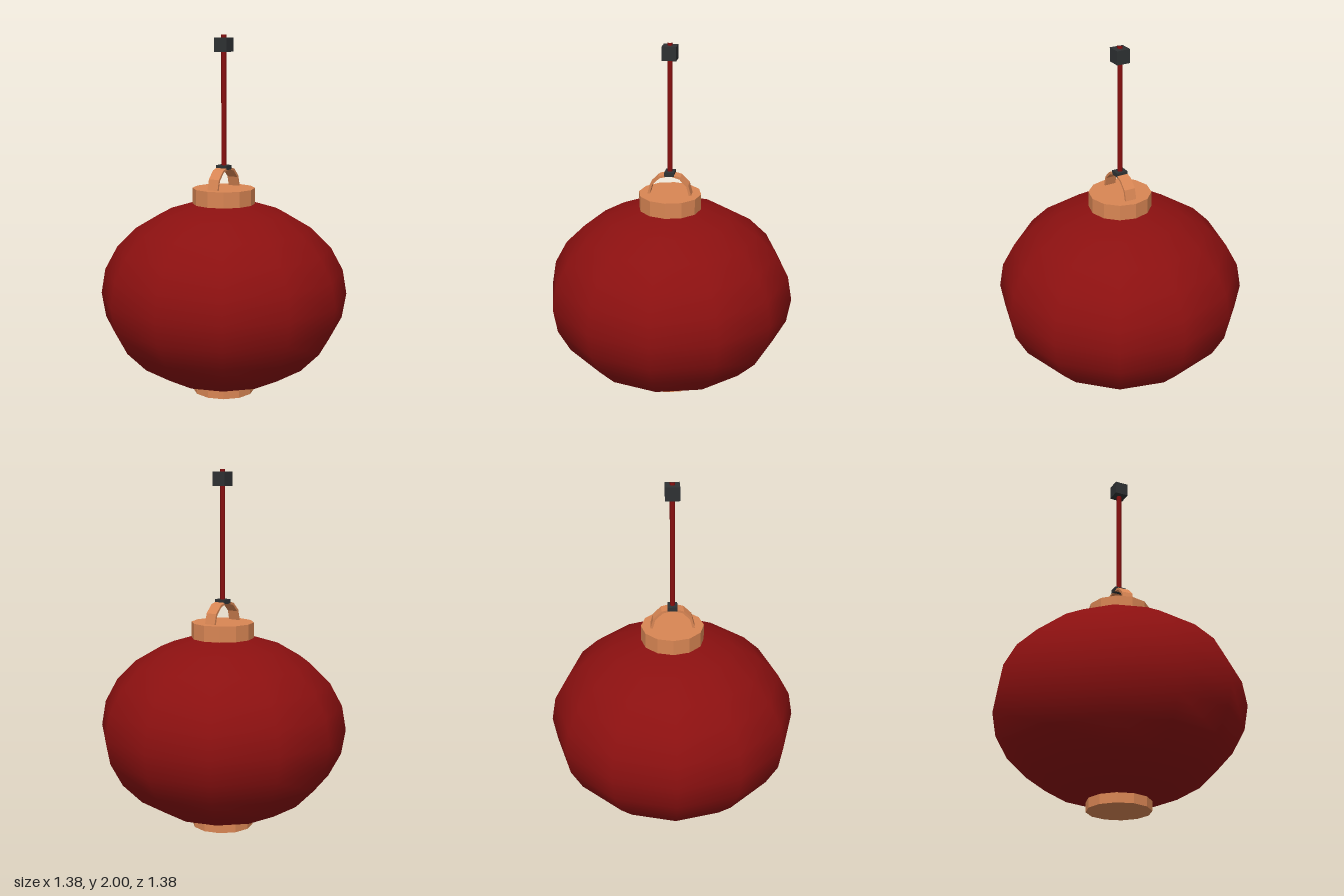
import * as THREE from 'three';

export function createModel() {
  const material = (name, color, flat) => {
    const m = new THREE.MeshStandardMaterial({ color });
    m.name = name;
    m.flatShading = flat;
    return m;
  };
  const red = material('deep red', 0x8b1010, false);
  const copper = material('copper', 0xd98654, true);
  const dark = material('charcoal', 0x2e3133, true);

  const group = new THREE.Group();
  group.name = 'hangingLantern';
  const add = (name, geometry, mat, y = 0) => {
    const mesh = new THREE.Mesh(geometry, mat);
    mesh.name = name;
    mesh.position.y = y;
    group.add(mesh);
    return mesh;
  };

  // Squashed twelve-sided globe
  add('shade', new THREE.SphereGeometry(0.69, 12, 12).scale(1, 0.53 / 0.69, 1), red, 0.565);

  // Collars at both poles
  const collar = (name, y0, y1) =>
    add(name, new THREE.CylinderGeometry(0.173, 0.173, y1 - y0, 12), copper, (y0 + y1) / 2);
  collar('bottomCollar', 0, 0.07);
  collar('topCollar', 1.06, 1.165);

  // Arched strap spanning front to back
  const arc = (r) => Array.from({ length: 7 }, (_, i) => {
    const a = (i * Math.PI) / 6;
    return new THREE.Vector2(r * Math.cos(a), r * Math.sin(a));
  });
  const arch = new THREE.Shape([...arc(0.122), ...arc(0.109).reverse()]);
  const strap = new THREE.ExtrudeGeometry(arch, { depth: 0.064, bevelEnabled: false });
  strap.translate(0, 0, -0.032).rotateY(Math.PI / 2);
  add('strap', strap, copper, 1.162);

  // Clip, cord and ceiling block
  add('clip', new THREE.BoxGeometry(0.066, 0.024, 0.054), dark, 1.28);
  add('cord', new THREE.CylinderGeometry(0.014, 0.014, 0.72, 6, 1, true), red, 1.64);
  add('ceilingBlock', new THREE.BoxGeometry(0.077, 0.075, 0.077), dark, 1.947);

  return group;
}
